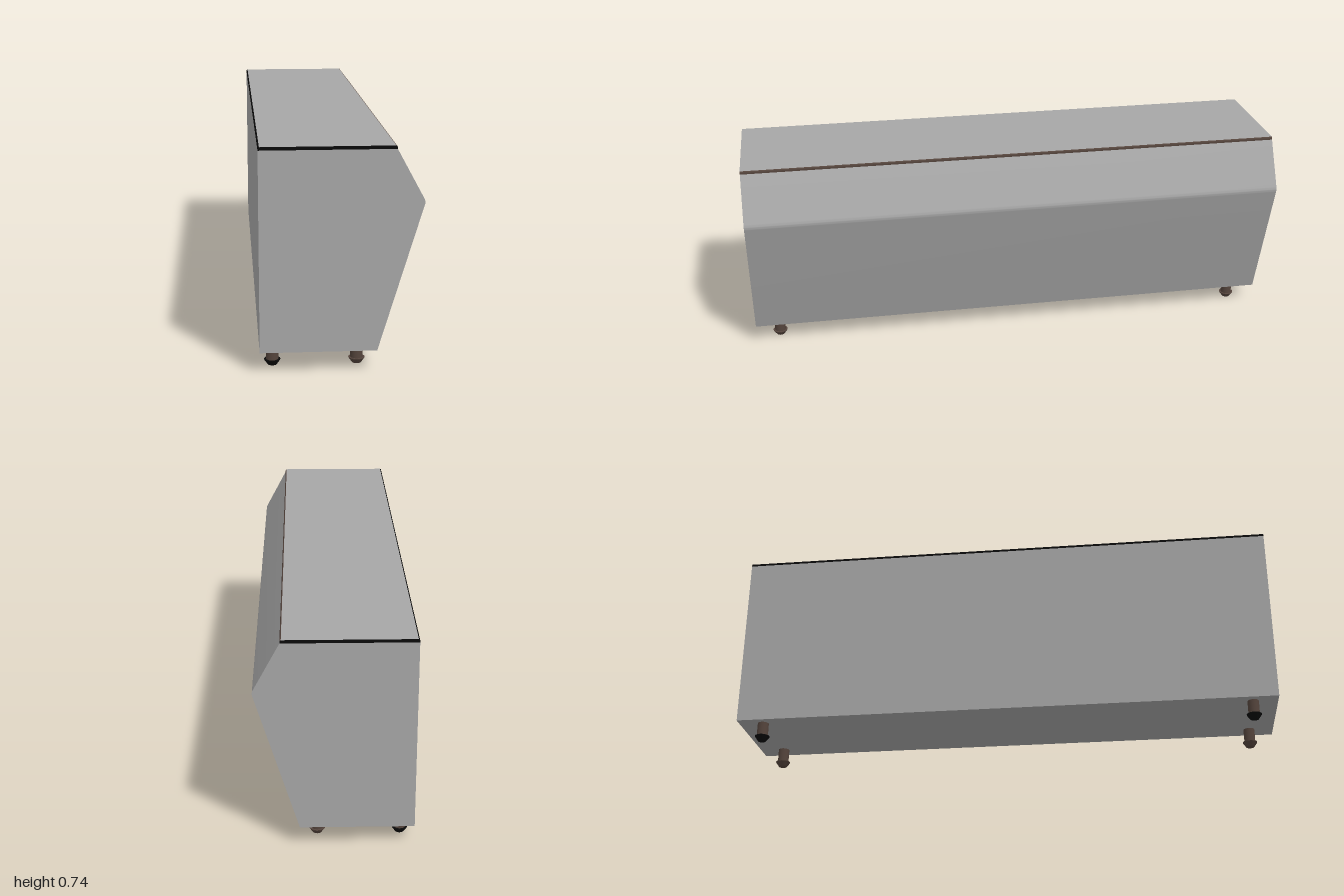
import * as THREE from 'three';
import { toCreasedNormals } from 'three/addons/utils/BufferGeometryUtils.js';

const LENGTH = 2;

function material(name, color) {
  const m = new THREE.MeshStandardMaterial({ color });
  m.name = name;
  return m;
}

// Extrude an x-y profile along the whole length, centred on z = 0
function extrudeAlongZ(shape) {
  const geometry = new THREE.ExtrudeGeometry(shape, { depth: LENGTH, bevelEnabled: false, curveSegments: 5 });
  return geometry.translate(0, 0, -LENGTH / 2);
}

// Give each triangle a material index chosen from its face normal
function paintByNormal(geometry, rule) {
  const normal = geometry.attributes.normal;
  geometry.clearGroups();
  for (let i = 0; i < normal.count; i += 3) {
    geometry.addGroup(i, 3, rule(normal.getX(i), normal.getY(i)));
  }
  return geometry;
}

export function createModel() {
  const model = new THREE.Group();
  const grey = material('grey panel', 0xa6a6a6);
  const brown = material('dark brown', 0x54443c);
  const black = material('black edge', 0x0a0a0a);

  const add = (name, geometry, mat, parent = model) => {
    const mesh = new THREE.Mesh(geometry, mat);
    mesh.name = name;
    parent.add(mesh);
    return mesh;
  };

  // Counter body: straight back, slanted front with a rounded ridge
  const body = new THREE.Shape();
  body.moveTo(-0.264, 0.07);
  body.lineTo(0.115, 0.07);
  body.lineTo(0.261, 0.549);
  body.quadraticCurveTo(0.265, 0.56, 0.259, 0.571);
  body.lineTo(0.173, 0.73);
  body.lineTo(-0.264, 0.73);
  body.closePath();
  add('counterBody', toCreasedNormals(extrudeAlongZ(body), 0.4), grey);

  // Worktop: thin slab with rounded upper edges, dark banding and a grey surface
  const top = new THREE.Shape();
  top.moveTo(-0.264, 0.73);
  top.lineTo(0.173, 0.73);
  top.lineTo(0.173, 0.734);
  top.quadraticCurveTo(0.173, 0.741, 0.166, 0.741);
  top.lineTo(-0.257, 0.741);
  top.quadraticCurveTo(-0.264, 0.741, -0.264, 0.734);
  top.closePath();
  const worktop = paintByNormal(extrudeAlongZ(top), (nx, ny) => (ny > 0.99 ? 0 : nx > 0.05 ? 1 : 2));
  add('worktop', worktop, [grey, brown, black]);

  // Four turned legs with flared feet
  const footProfile = [[0, 0], [0.015, 0], [0.027, 0.017], [0.027, 0.019], [0.02, 0.019]]
    .map(([r, y]) => new THREE.Vector2(r, y));
  for (const x of [-0.221, 0.057]) {
    for (const z of [-0.91, 0.91]) {
      const leg = new THREE.Group();
      leg.name = 'leg';
      leg.position.set(x, 0, z);
      add('legPost', new THREE.CylinderGeometry(0.0205, 0.0205, 0.054, 20).translate(0, 0.045, 0), brown, leg);
      const foot = toCreasedNormals(new THREE.LatheGeometry(footProfile, 20), 0.5);
      add('foot', foot, x < 0 ? black : brown, leg);
      model.add(leg);
    }
  }
  return model;
}
